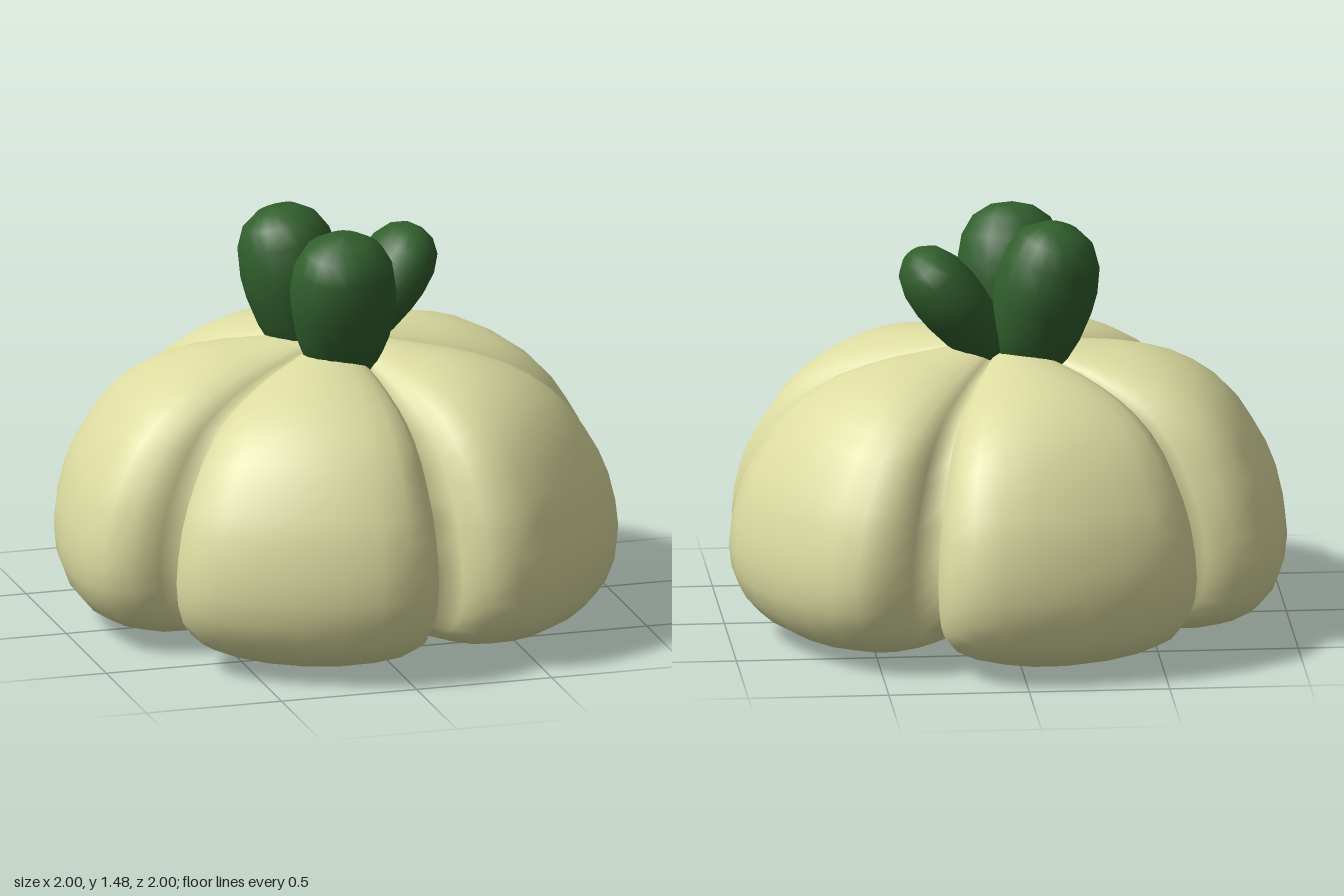
import * as THREE from 'three';
import { mergeVertices } from 'three/addons/utils/BufferGeometryUtils.js';

const DEG = Math.PI / 180;

// Half of one lobe's plan outline: [degrees from groove, radius]
const HALF_LOBE = [[0, 0.71], [3.3, 0.86], [7, 0.95], [12.5, 1.0], [19, 1.007], [27, 1.003], [36, 1.0]];

// Vertical profile from the underside centre to the top centre: [radius, y]
const PROFILE = [
  [0, 0.012], [0.2, 0.008], [0.4, 0.004], [0.6, 0.004], [0.74, 0.02], [0.84, 0.05], [0.91, 0.09], [0.96, 0.15],
  [0.99, 0.23], [1, 0.32], [0.99, 0.42], [0.965, 0.53], [0.93, 0.62], [0.88, 0.71], [0.83, 0.79], [0.76, 0.865],
  [0.685, 0.92], [0.6, 0.965], [0.5, 0.995], [0.4, 1.012], [0.2, 1.028], [0, 1.03],
];

const MID_HEIGHT = 0.45;
const GROOVE_SQUASH = 0.16;

// Five-lobed body: the plan outline scaled by the profile, and flattened towards each groove
function bodyGeometry() {
  const lobe = [...HALF_LOBE, ...HALF_LOBE.slice(1, -1).reverse().map(([a, r]) => [72 - a, r])];
  const ring = [];
  for (let i = 0; i < 5; i++) {
    for (const [a, r] of lobe) {
      const closeness = (Math.abs(a - 36) / 36) ** 2;
      ring.push([(a - 47.8 + 72 * i) * DEG, r, closeness * GROOVE_SQUASH]);
    }
  }

  const n = ring.length, last = PROFILE.length - 1, positions = [], index = [];
  PROFILE.forEach(([scale, y], row) => {
    const ramp = Math.min(1, scale * 1.8);
    ring.forEach(([a, r, squash], col) => {
      const height = MID_HEIGHT + (y - MID_HEIGHT) * (1 - squash * ramp);
      positions.push(Math.sin(a) * r * scale, height, -Math.cos(a) * r * scale);
      if (row === last) return;
      const p = row * n + col, q = row * n + (col + 1) % n;
      if (row > 0) index.push(p, p + n, q);
      if (row < last - 1) index.push(q, p + n, q + n);
    });
  });
  const geometry = new THREE.BufferGeometry();
  geometry.setAttribute('position', new THREE.Float32BufferAttribute(positions, 3));
  geometry.setIndex(index);
  const merged = mergeVertices(geometry, 1e-4);
  merged.computeVertexNormals();
  return merged;
}

// Egg-shaped bud, one unit tall, a little narrower at the base
function budGeometry() {
  const points = [[0, 0], [0.42, 0.04], [0.68, 0.14], [0.88, 0.32], [0.98, 0.5], [1, 0.63], [0.93, 0.79], [0.73, 0.91], [0.4, 0.98], [0, 1]];
  return new THREE.LatheGeometry(points.map(([r, y]) => new THREE.Vector2(r, y)), 18);
}

// Places a bud along the line from base to tip; width is across the lean, depth along it
function placeBud(mesh, base, tip, width, depth) {
  const from = new THREE.Vector3(...base);
  const axis = new THREE.Vector3(...tip).sub(from);
  const length = axis.length();
  axis.normalize();
  const outward = new THREE.Vector3(axis.x, 0, axis.z).normalize();
  const side = new THREE.Vector3().crossVectors(axis, outward).normalize();
  const front = new THREE.Vector3().crossVectors(side, axis);
  mesh.quaternion.setFromRotationMatrix(new THREE.Matrix4().makeBasis(side, axis, front));
  mesh.position.copy(from);
  mesh.scale.set(width, length, depth);
}

export function createModel() {
  const model = new THREE.Group();
  model.name = 'lobedGourd';

  const cream = new THREE.MeshStandardMaterial({ color: 0xdcdca1 });
  cream.name = 'paleCream';
  const green = new THREE.MeshStandardMaterial({ color: 0x315f2d });
  green.name = 'darkGreen';

  const body = new THREE.Mesh(bodyGeometry(), cream);
  body.name = 'body';
  model.add(body);

  // Three buds leaning away from the middle of the top
  const buds = [
    ['frontBud', [-0.02, 0.9, 0.13], [-0.045, 1.465, 0.25], 0.19, 0.178],
    ['backBud', [-0.06, 0.9, -0.08], [-0.185, 1.48, -0.14], 0.184, 0.182],
    ['leftBud', [0.02, 0.96, -0.04], [0.34, 1.37, -0.085], 0.17, 0.125],
  ];
  const geometry = budGeometry();
  for (const [name, base, tip, width, depth] of buds) {
    const bud = new THREE.Mesh(geometry, green);
    bud.name = name;
    placeBud(bud, base, tip, width, depth);
    model.add(bud);
  }
  return model;
}
